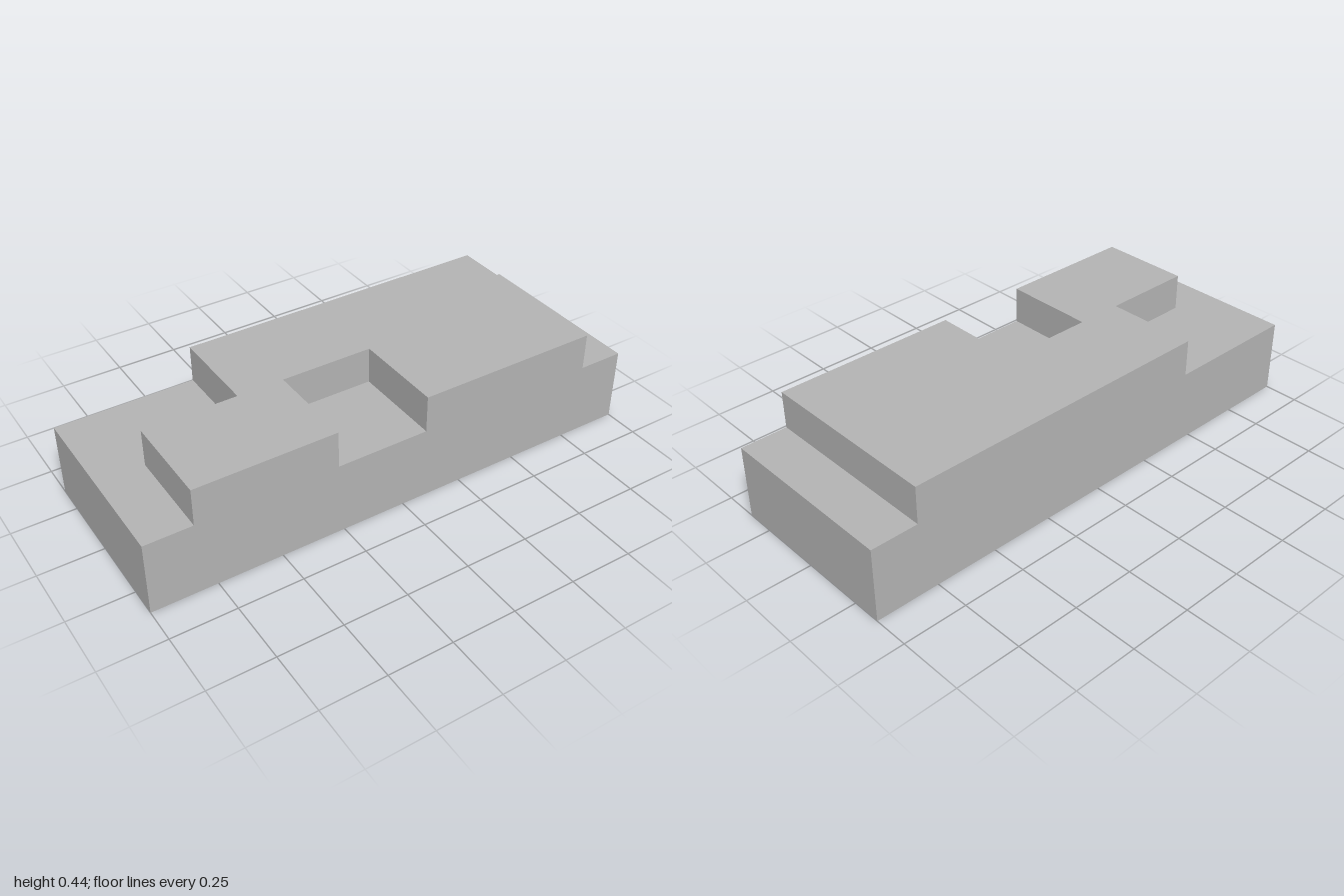
import * as THREE from 'three';

const U = 1 / 11;                       // grid unit: the block is 22 x 8 units
const LOW = 3.2 * U, HIGH = 4.8 * U;    // heights of the two decks

const grey = new THREE.MeshStandardMaterial({ color: 0xb3b3b3, side: THREE.DoubleSide });
grey.name = 'grey';

// Outlines as [x, z] in grid units, clockwise seen from above
const rect = (x0, x1, z0, z1) => [[x1, z0], [x1, z1], [x0, z1], [x0, z0]];
const base = rect(-11, 11, -4, 4);
const raised = [
  [9, -4], [9, 4], [1, 4], [1, 0], [-3, 0], [-3, 4],
  [-9, 4], [-9, 0], [-5, 0], [-5, -4],
];

// Flat deck facing up
function deck(name, outline, y) {
  const shape = new THREE.Shape(outline.map(([x, z]) => new THREE.Vector2(x * U, -z * U)));
  const geometry = new THREE.ShapeGeometry(shape).rotateX(-Math.PI / 2).translate(0, y, 0);
  const mesh = new THREE.Mesh(geometry, grey);
  mesh.name = name;
  return mesh;
}

// Thin upright wall following an outline
function wall(name, outline, y0, y1) {
  const positions = [];
  outline.forEach(([ax, az], i) => {
    const [bx, bz] = outline[(i + 1) % outline.length];
    const corner = (x, z, y) => [x * U, y, z * U];
    const a0 = corner(ax, az, y0), a1 = corner(ax, az, y1);
    const b0 = corner(bx, bz, y0), b1 = corner(bx, bz, y1);
    positions.push(...a0, ...a1, ...b1, ...a0, ...b1, ...b0);
  });
  const geometry = new THREE.BufferGeometry();
  geometry.setAttribute('position', new THREE.Float32BufferAttribute(positions, 3));
  geometry.computeVertexNormals();
  const mesh = new THREE.Mesh(geometry, grey);
  mesh.name = name;
  return mesh;
}

export function createModel() {
  const group = new THREE.Group();
  group.name = 'steppedBlock';

  // Hollow shell, open underneath
  group.add(wall('baseWalls', base, 0, LOW));
  group.add(wall('raisedWalls', raised, LOW, HIGH));
  group.add(deck('raisedDeck', raised, HIGH));

  // Lower deck around and inside the raised part
  group.add(deck('leftLedge', rect(9, 11, -4, 4), LOW));
  group.add(deck('frontPocketFloor', rect(-3, 1, 0, 4), LOW));
  group.add(deck('rightLedge', [[-5, -4], [-5, 0], [-9, 0], [-9, 4], [-11, 4], [-11, -4]], LOW));

  return group;
}
